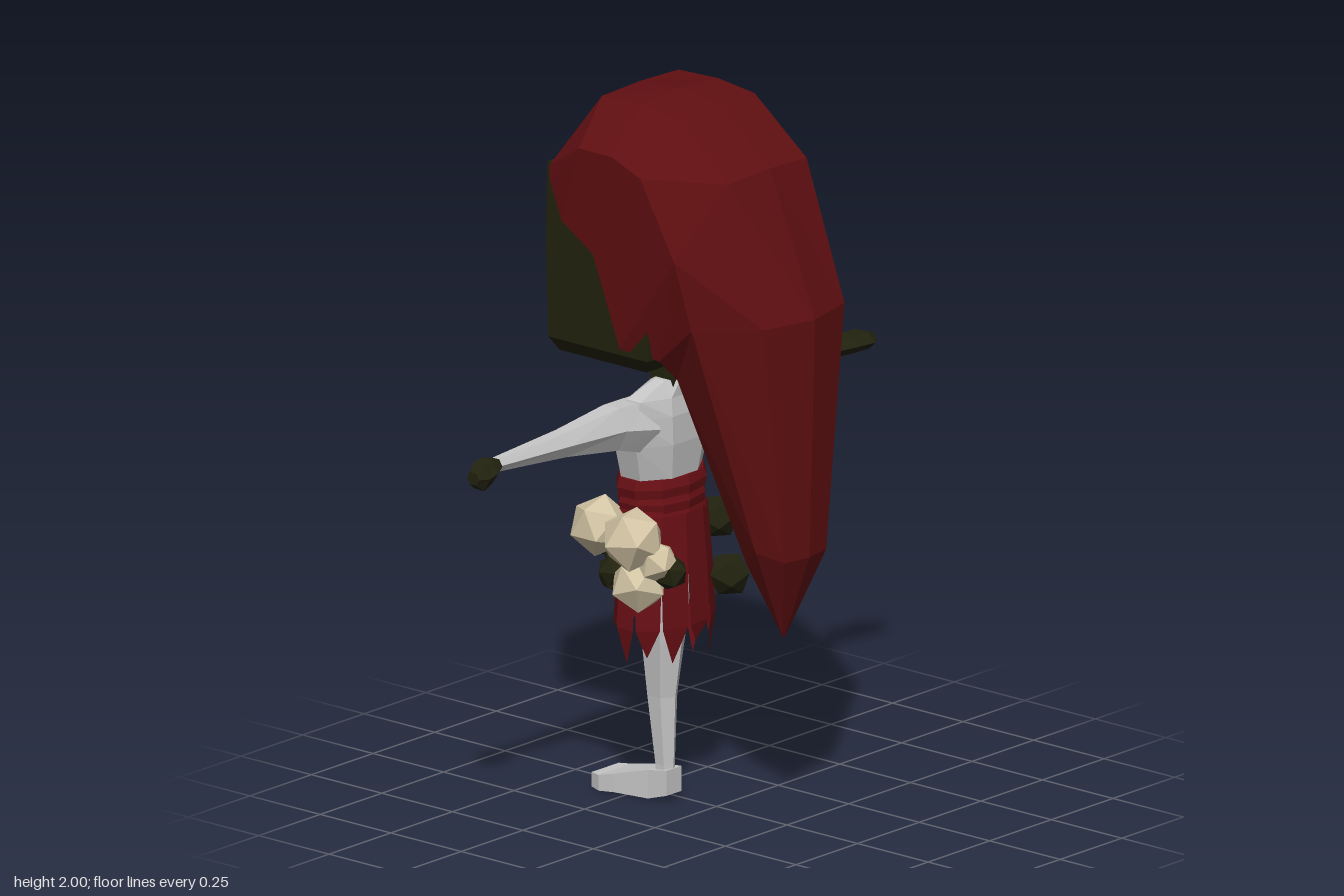
import * as THREE from 'three';

const CX = -0.035; // the body's middle plane

const mat = (name, color) => Object.assign(new THREE.MeshStandardMaterial({ color }), { name });

// Faceted geometry from a list of triangles (each three Vector3)
function facets(tris) {
  const g = new THREE.BufferGeometry().setFromPoints(tris.flat());
  g.computeVertexNormals();
  return g;
}

// Skin closed loops of points with caps; the winding is fixed by signed volume
function loft(rings) {
  const tris = [];
  const n = rings[0].length;
  for (let i = 0; i + 1 < rings.length; i++) {
    for (let j = 0; j < n; j++) {
      const k = (j + 1) % n;
      const [a, b, c, d] = [rings[i][j], rings[i][k], rings[i + 1][k], rings[i + 1][j]];
      tris.push([a, b, c], [a, c, d]);
    }
  }
  const mid = (r) => r.reduce((s, p) => s.add(p), new THREE.Vector3()).divideScalar(n);
  const first = rings[0], last = rings[rings.length - 1];
  const m0 = mid(first), m1 = mid(last);
  for (let j = 0; j < n; j++) {
    const k = (j + 1) % n;
    tris.push([m0, first[k], first[j]], [m1, last[j], last[k]]);
  }
  const volume = tris.reduce((s, [a, b, c]) => s + a.dot(b.clone().cross(c)), 0);
  return facets(volume < 0 ? tris.map(([a, b, c]) => [a, c, b]) : tris);
}

// Sections along an axis: [position, centreA, centreB, radiusA, radiusB]
function tubeAlong(axis, n, sections) {
  const square = n === 4 ? Math.SQRT2 : 1;
  return loft(sections.map(([p, ca, cb, ra, rb]) => Array.from({ length: n }, (_, i) => {
    const t = ((i + 0.5) / n) * Math.PI * 2;
    const a = ca + ra * square * Math.cos(t), b = cb + rb * square * Math.sin(t);
    if (axis === 'x') return new THREE.Vector3(p, a, b);
    if (axis === 'y') return new THREE.Vector3(a, p, b);
    return new THREE.Vector3(a, b, p);
  })));
}

export function createModel() {
  const root = new THREE.Group();
  const red = mat('dark red', 0x600f11);
  const cloth = mat('cloth red', 0x680f14);
  cloth.side = THREE.DoubleSide;
  const olive = mat('dark olive', 0x22220f);
  const pale = mat('pale grey', 0xc6c6c6);
  const cream = mat('cream', 0xd2c4a4);
  const add = (name, geometry, material, pos = [0, 0, 0]) => {
    const m = new THREE.Mesh(geometry, material);
    m.name = name;
    m.position.set(...pos);
    root.add(m);
    return m;
  };

  // Hair: each rib is crown, shoulder, side, edge, inner as [halfWidth, y, z]
  const ribs = [
    [[0, 1.82, -0.358], [0.16, 1.81, -0.352], [0.25, 1.79, -0.345], [0.252, 1.75, -0.34], [0, 1.75, -0.33]],
    [[0, 1.99, -0.24], [0.155, 1.985, -0.24], [0.272, 1.87, -0.22], [0.262, 1.65, -0.29], [0, 1.65, -0.27]],
    [[0, 2, -0.1], [0.155, 1.99, -0.1], [0.275, 1.87, -0.1], [0.262, 1.58, -0.18], [0, 1.58, -0.18]],
    [[0, 1.985, 0.04], [0.155, 1.975, 0.03], [0.275, 1.83, 0], [0.255, 1.33, -0.09], [0, 1.33, -0.09]],
    [[0, 1.84, 0.22], [0.16, 1.83, 0.21], [0.275, 1.62, 0.12], [0.22, 1.31, 0.02], [0, 1.31, 0.02]],
    [[0, 1.45, 0.38], [0.165, 1.45, 0.34], [0.25, 1.43, 0.16], [0.17, 1.25, 0.04], [0, 1.25, 0.04]],
    [[0, 0.78, 0.36], [0.085, 0.78, 0.345], [0.115, 0.8, 0.27], [0.07, 0.74, 0.2], [0, 0.74, 0.19]],
    [[0, 0.54, 0.27], [0.004, 0.54, 0.27], [0.005, 0.54, 0.27], [0.004, 0.54, 0.268], [0, 0.54, 0.268]],
  ];
  add('hair', loft(ribs.map((r) => [
    ...r.map(([x, y, z]) => new THREE.Vector3(CX + x, y, z)),
    ...r.slice(1, 4).reverse().map(([x, y, z]) => new THREE.Vector3(CX - x, y, z)),
  ])), red);

  // Head, eyes and neck
  add('head', tubeAlong('y', 4, [
    [1.27, CX, -0.18, 0.22, 0.155], [1.31, CX, -0.175, 0.246, 0.176],
    [1.6, CX, -0.177, 0.25, 0.18], [1.8, CX, -0.176, 0.246, 0.179],
  ]), olive);
  for (const s of [-1, 1]) {
    add(s > 0 ? 'leftEye' : 'rightEye', new THREE.BoxGeometry(0.036, 0.2, 0.009), pale, [CX + s * 0.14, 1.595, -0.375]);
  }
  add('neck', new THREE.BoxGeometry(0.1, 0.14, 0.08), olive, [CX, 1.22, -0.12]);

  // Torso
  add('torso', tubeAlong('y', 8, [
    [0.84, CX, -0.17, 0.13, 0.09], [0.92, CX, -0.165, 0.135, 0.09], [1.02, CX, -0.16, 0.165, 0.1],
    [1.1, CX, -0.15, 0.175, 0.09], [1.15, CX, -0.135, 0.16, 0.065], [1.195, CX, -0.115, 0.07, 0.045],
  ]), pale);

  // Arms
  for (const s of [-1, 1]) {
    const end = s > 0 ? 0.69 : 0.7;
    add(s > 0 ? 'leftArm' : 'rightArm', tubeAlong('x', 6, [
      [CX + s * 0.1, 1.07, -0.15, 0.085, 0.07], [CX + s * 0.22, 1.09, -0.15, 0.068, 0.054],
      [CX + s * 0.42, 1.093, -0.152, 0.04, 0.038], [CX + s * end, 1.095, -0.157, 0.019, 0.02],
    ]), pale);
  }

  // Open left hand with thumb, closed right hand
  add('leftHand', tubeAlong('x', 6, [
    [0.645, 1.093, -0.158, 0.022, 0.026], [0.7, 1.095, -0.16, 0.027, 0.045],
    [0.77, 1.093, -0.16, 0.026, 0.05], [0.8, 1.09, -0.155, 0.02, 0.025],
  ]), olive);
  add('leftThumb', new THREE.BoxGeometry(0.035, 0.03, 0.06), olive, [0.663, 1.095, -0.19]);
  add('rightHand', tubeAlong('x', 6, [
    [-0.715, 1.093, -0.158, 0.022, 0.024], [-0.75, 1.085, -0.16, 0.036, 0.042],
    [-0.78, 1.075, -0.16, 0.042, 0.038], [-0.805, 1.075, -0.16, 0.02, 0.022],
  ]), olive);

  // Single leg and foot
  add('leg', tubeAlong('y', 6, [
    [0.02, CX, -0.15, 0.028, 0.028], [0.1, CX, -0.152, 0.026, 0.03], [0.29, CX, -0.162, 0.04, 0.046],
    [0.45, CX, -0.158, 0.06, 0.065], [0.8, CX, -0.155, 0.11, 0.08],
  ]), pale);
  add('foot', tubeAlong('z', 4, [
    [-0.12, CX, 0.055, 0.03, 0.035], [-0.18, CX, 0.042, 0.038, 0.04],
    [-0.28, CX, 0.03, 0.06, 0.026], [-0.33, CX, 0.022, 0.067, 0.022], [-0.365, CX, 0.022, 0.055, 0.02],
  ]), pale);

  // Wrapped waistband
  for (let i = 0; i < 3; i++) {
    const y = 0.785 + i * 0.043, r = 0.152 - (i % 2) * 0.008;
    add('waistWrap', tubeAlong('y', 10, [
      [y, CX, -0.165, r - 0.006, 0.098], [y + 0.025, CX, -0.165, r, 0.102], [y + 0.05, CX, -0.165, r - 0.008, 0.094],
    ]), cloth);
  }

  // Torn skirt: narrow panels ending in ragged points
  const flaps = 11;
  const tips = [0.44, 0.39, 0.46, 0.41, 0.43, 0.41, 0.47, 0.43, 0.45, 0.4, 0.37];
  const at = (u, y, rx, rz) => {
    const t = (u / flaps) * Math.PI * 2;
    return new THREE.Vector3(CX + rx * Math.cos(t), y, -0.155 + rz * Math.sin(t));
  };
  const panels = [];
  for (let i = 0; i < flaps; i++) {
    const rows = [[0, 1, 0.82, 0.14, 0.095], [0, 1, 0.66, 0.155, 0.105], [0.05, 0.95, 0.51, 0.165, 0.112]]
      .map(([l, r, y, rx, rz]) => [at(i + l, y, rx, rz), at(i + r, y, rx, rz)]);
    for (let k = 0; k < 2; k++) {
      const [[a, b], [d, c]] = [rows[k], rows[k + 1]];
      panels.push([a, b, c], [a, c, d]);
    }
    panels.push([rows[2][0], rows[2][1], at(i + 0.6, tips[i], 0.145, 0.1)]);
  }
  add('skirt', facets(panels), cloth);

  // Strings of beads round the hips
  const strings = [
    [[0.14, 0.755, -0.12, 0.062], [0.02, 0.735, -0.29, 0.058], [-0.14, 0.73, -0.285, 0.055],
      [-0.18, 0.66, -0.21, 0.045], [-0.165, 0.69, -0.02, 0.05]],
    [[0.12, 0.61, -0.06, 0.062], [0.1, 0.59, -0.29, 0.058], [-0.09, 0.61, -0.285, 0.045]],
  ];
  for (const beads of strings) {
    beads.forEach(([x, y, z, r], i) => {
      add('bead', new THREE.IcosahedronGeometry(r, 0), olive, [x, y, z]).rotation.set(0.4 + i, 0.3, i * 0.7);
      if (!i) return;
      const a = new THREE.Vector3(...beads[i - 1]), b = new THREE.Vector3(x, y, z);
      add('beadString', new THREE.TubeGeometry(new THREE.LineCurve3(a, b), 1, 0.008, 5), olive);
    });
  }

  // Cream ornaments on the right hip
  [[-0.21, 0.79, -0.23, 0.085], [-0.225, 0.78, -0.1, 0.09], [-0.19, 0.645, -0.11, 0.08], [-0.19, 0.72, -0.045, 0.06]]
    .forEach(([x, y, z, r], i) => {
      add('hipOrnament', new THREE.IcosahedronGeometry(r, 0), cream, [x, y, z]).rotation.set(i, 0.5 * i, 0.3);
    });

  return root;
}
